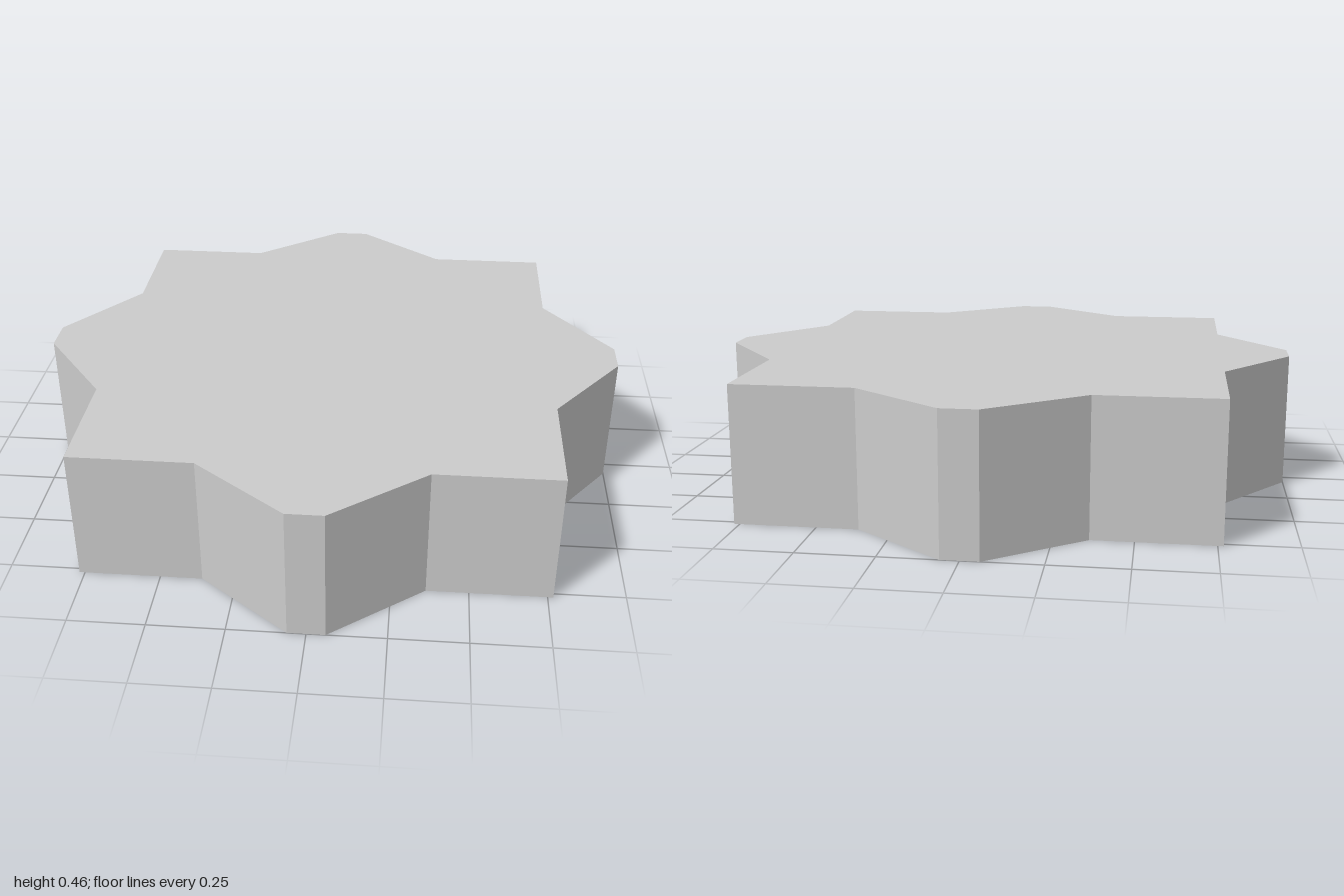
import * as THREE from 'three';

const H = 0.455;                 // slab height
const W = 0.06;                  // half width of the blunt tips
const Y0 = 0.045, Y1 = 0.182;    // pocket floor and ceiling
const BACK = 0.945;              // pocket back wall

// Flat quads, corners counter-clockwise seen from outside
function quadGeometry(quads) {
  const pos = quads.flatMap(([a, b, c, d]) => [a, b, c, a, c, d].flat());
  const g = new THREE.BufferGeometry();
  g.setAttribute('position', new THREE.Float32BufferAttribute(pos, 3));
  g.computeVertexNormals();
  return g;
}

// Upright quad between two plan points [x, z]
const wall = (a, b, lo, hi) => [
  [a[0], lo, a[1]], [a[0], hi, a[1]], [b[0], hi, b[1]], [b[0], lo, b[1]],
];

export function createModel() {
  const group = new THREE.Group();
  const material = new THREE.MeshStandardMaterial({ color: 0xcccccc, flatShading: true });
  const add = (name, geometry) => {
    const mesh = new THREE.Mesh(geometry, material);
    mesh.name = name;
    group.add(mesh);
    return mesh;
  };

  // Star outline: one quarter turned four times
  const quarter = [[1, W], [0.768, 0.362], [0.768, 0.768], [0.362, 0.768], [W, 1]];
  const outline = [];
  for (let k = 0; k < 4; k++) {
    const c = Math.round(Math.cos(k * Math.PI / 2)), s = Math.round(Math.sin(k * Math.PI / 2));
    for (const [x, z] of quarter) outline.push([x * c - z * s, x * s + z * c]);
  }

  // Top and bottom faces
  const shape = new THREE.Shape(outline.map(([x, z]) => new THREE.Vector2(x, z)));
  add('topFace', new THREE.ShapeGeometry(shape).rotateX(-Math.PI / 2)).position.y = H;
  add('bottomFace', new THREE.ShapeGeometry(shape).rotateX(Math.PI / 2));

  // Side walls; the left tip is split above and below its pocket
  const first = outline[0], last = outline[outline.length - 1];
  const walls = outline.slice(1).map((p, i) => wall(outline[i], p, 0, H));
  walls.push(wall(last, first, 0, Y0), wall(last, first, Y1, H));
  add('sideWalls', quadGeometry(walls));

  // Small pocket in the left tip: back, floor, ceiling and two cheeks
  const a = [BACK, -W], b = [BACK, W];
  const level = (y) => [a, b, first, last].map(([x, z]) => [x, y, z]);
  add('tipPocket', quadGeometry([
    wall(a, b, Y0, Y1),
    level(Y0),
    level(Y1).reverse(),
    wall(last, a, Y0, Y1),
    wall(b, first, Y0, Y1),
  ]));

  return group;
}
